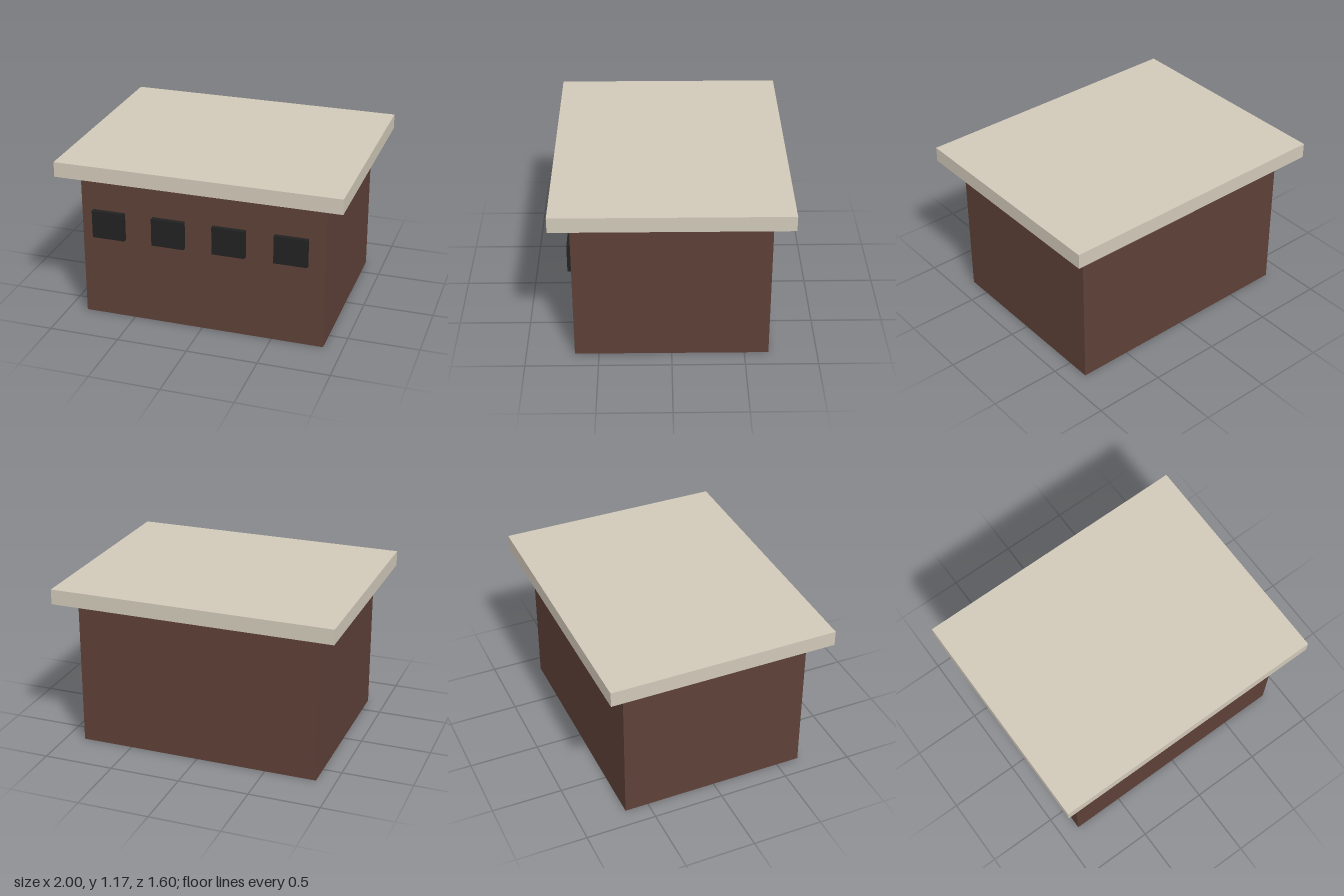
import * as THREE from 'three';

export function createModel() {
  const group = new THREE.Group();
  const material = (name, color) => {
    const m = new THREE.MeshStandardMaterial({ color });
    m.name = name;
    return m;
  };
  const brown = material('wall brown', 0x5d4037);
  const stone = material('roof beige', 0xd0c8b8);
  const dark = material('window black', 0x222222);

  // Adds a box standing on height y
  const box = (name, mat, [w, h, d], x, y, z) => {
    const mesh = new THREE.Mesh(new THREE.BoxGeometry(w, h, d), mat);
    mesh.name = name;
    mesh.position.set(x, y + h / 2, z);
    group.add(mesh);
  };

  // Walls and overhanging flat roof
  box('walls', brown, [1.733, 1.067, 1.333], 0, 0, 0);
  box('roof', stone, [2, 0.107, 1.6], 0, 1.067, 0);

  // Row of four raised windows, slightly off centre
  for (let i = 0; i < 4; i++) {
    box(`window${i + 1}`, dark, [0.233, 0.2, 0.033], -0.667 + i * 0.433, 0.6, 0.683);
  }
  return group;
}
